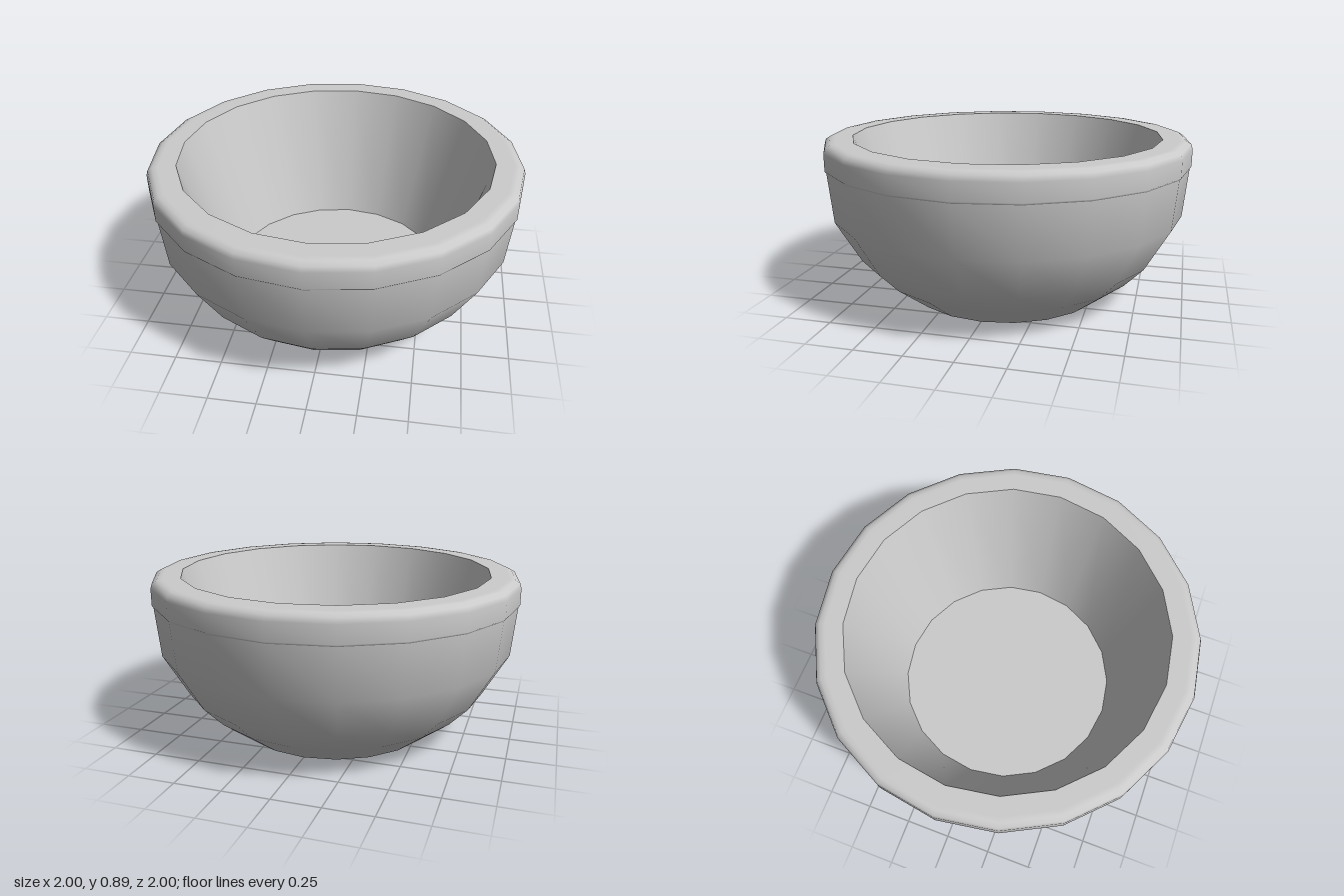
import * as THREE from 'three';

const SIDES = 20;

export function createModel() {
  const bowl = new THREE.Group();
  bowl.name = 'bowl';
  const material = new THREE.MeshStandardMaterial({ color: 0xcccccc });

  // Each profile is a list of [radius, height]; splitting them keeps the edges between parts sharp.
  const turn = (name, profile) => {
    const points = profile.map(([r, y]) => new THREE.Vector2(r, y));
    const mesh = new THREE.Mesh(new THREE.LatheGeometry(points, SIDES), material);
    mesh.name = name;
    bowl.add(mesh);
  };

  // Flat foot
  turn('base', [[0, 0], [0.55, 0]]);

  // Rounded outer wall
  turn('outerWall', [[0.55, 0], [0.73, 0.14], [0.835, 0.25], [0.967, 0.48], [0.992, 0.745]]);

  // Slightly proud rim band with a softened upper edge and flat top
  turn('rim', [
    [0.992, 0.745], [1, 0.755], [1, 0.845], [0.992, 0.872], [0.968, 0.887], [0.94, 0.89], [0.845, 0.89],
  ]);

  // Tapered inside wall and flat floor
  turn('innerWall', [[0.845, 0.89], [0.61, 0.14]]);
  turn('floor', [[0.61, 0.14], [0, 0.14]]);

  return bowl;
}
